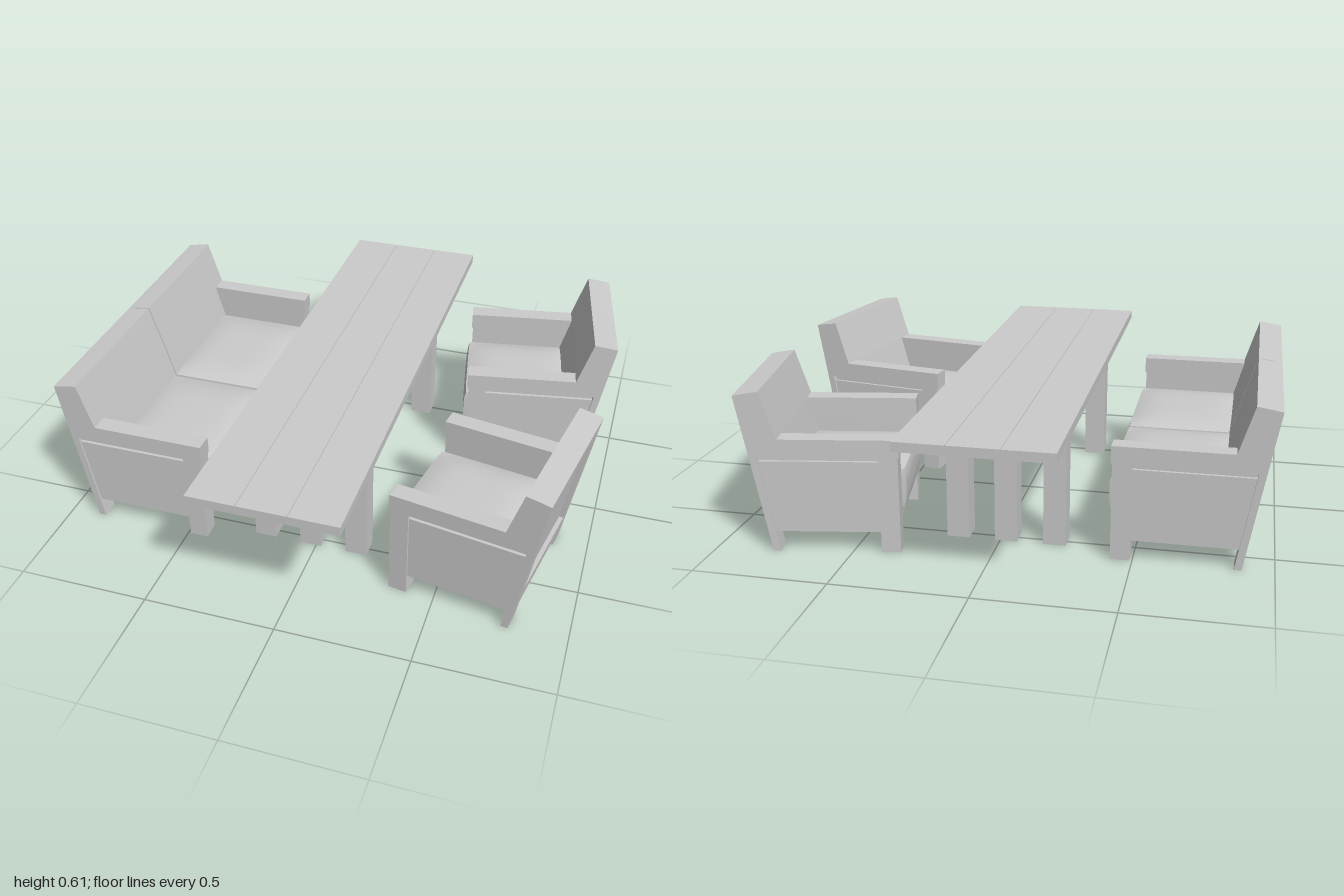
import * as THREE from 'three';
import { mergeVertices, toCreasedNormals } from 'three/addons/utils/BufferGeometryUtils.js';

const material = new THREE.MeshStandardMaterial({ color: 0xcccccc });

function add(group, name, geometry) {
  const mesh = new THREE.Mesh(geometry, material);
  mesh.name = name;
  group.add(mesh);
  return mesh;
}

// Box given by its limits on each axis
function box(group, name, [x0, x1], [y0, y1], [z0, z1]) {
  const mesh = add(group, name, new THREE.BoxGeometry(x1 - x0, y1 - y0, z1 - z0));
  mesh.position.set((x0 + x1) / 2, (y0 + y1) / 2, (z0 + z1) / 2);
}

// Side profile in x and y, extruded from z0 to z1
function prism(group, name, points, z0, z1) {
  const shape = new THREE.Shape(points.map(([x, y]) => new THREE.Vector2(x, y)));
  const geometry = new THREE.ExtrudeGeometry(shape, { depth: z1 - z0, bevelEnabled: false });
  add(group, name, geometry.translate(0, 0, z0));
}

// Rear plane of the leaning back, offset forwards by d
const lean = (y, d = 0) => [-0.185 - 0.178 * y + d, y];
const slat = (y0, y1, d0, d1) => [lean(y0, d0), lean(y0, d1), lean(y1, d1), lean(y1, d0)];

// Soft seat cushion: domed top and bulging sides
function cushionGeometry(w, h, d) {
  let g = new THREE.BoxGeometry(w, h, d, 14, 8, 14);
  g.deleteAttribute('normal');
  g.deleteAttribute('uv');
  g = mergeVertices(g);
  const p = g.attributes.position;
  for (let i = 0; i < p.count; i++) {
    const u = p.getX(i) / w * 2, v = p.getY(i) / h * 2, t = p.getZ(i) / d * 2;
    const dome = v > 0 ? 0.74 + 0.26 * (1 - u ** 4) * (1 - t ** 4) : 1;
    const tuck = 1 - 0.035 * Math.abs(v) ** 3;
    p.setXYZ(i, p.getX(i) * tuck * (1 - 0.015 * t ** 6), p.getY(i) * dome,
      p.getZ(i) * (1 - 0.012 * Math.abs(v) ** 3) * (1 - 0.01 * u ** 6));
  }
  return toCreasedNormals(g, 0.9);
}

// Armchair or sofa facing +x, centred on z = 0
function createSeat(name, width, places) {
  const seat = new THREE.Group();
  seat.name = name;
  const half = width / 2, arm = 0.07, inner = half - arm;

  for (const s of [-1, 1]) {
    // z limits on this side, measured from the outer face inwards
    const span = (a, b) => [s * (half - a), s * (half - b)].sort((m, n) => m - n);
    box(seat, 'frontLeg', [0.21, 0.28], [0, 0.365], span(0, arm));
    prism(seat, 'backLeg', slat(0, 0.555, 0, 0.027), ...span(0, arm));
    prism(seat, 'armrest', [lean(0.365, 0.025), [0.285, 0.365], [0.285, 0.43], lean(0.43, 0.025)], ...span(0, arm));
    prism(seat, 'sidePanel', [lean(0.075, 0.025), [0.215, 0.075], [0.215, 0.345], lean(0.345, 0.025)], ...span(0.008, arm));
    prism(seat, 'armSupport', [lean(0.345, 0.025), [0.215, 0.345], [0.215, 0.365], lean(0.365, 0.025)], ...span(0.02, arm));
  }

  // Base and back frame
  prism(seat, 'seatBase', [lean(0.075, 0.02), [0.265, 0.075], [0.265, 0.15], lean(0.15, 0.02)], -inner, inner);
  prism(seat, 'lowerBackRail', slat(0.078, 0.147, 0, 0.022), -inner, inner);
  prism(seat, 'topBackRail', [lean(0.55), lean(0.555, 0.03), lean(0.595, 0.03), lean(0.59)], -half, half);

  // Cushions, one pair for each place
  const pitch = 2 * inner / places, gap = 0.003;
  for (let i = 0; i < places; i++) {
    const z0 = -inner + i * pitch + gap, z1 = z0 + pitch - 2 * gap;
    const seatCushion = add(seat, 'seatCushion', cushionGeometry(0.44, 0.165, z1 - z0));
    seatCushion.position.set(0.08, 0.2325, (z0 + z1) / 2);
    prism(seat, 'backCushion', [lean(0.15, 0.016), [-0.065, 0.15], [-0.145, 0.43], lean(0.43, 0.016)], z0, z1);
    // The upper part widens over the armrests
    const w0 = i === 0 ? -half : z0, w1 = i === places - 1 ? half : z1;
    prism(seat, 'upperBackCushion',
      [lean(0.43, 0.026), [-0.145, 0.43], [-0.2, 0.605], lean(0.595, 0.026)], w0, w1);
    prism(seat, 'backPanel', slat(0.43, 0.555, 0.016, 0.028), z0, z1);
  }
  return seat;
}

function createTable() {
  const table = new THREE.Group();
  table.name = 'table';
  const plank = 0.183;
  for (let i = 0; i < 3; i++) {
    const x = -0.295 + i * plank;
    box(table, 'tabletopPlank', [x, x + plank - 0.002], [0.5, 0.535], [-1, 1]);
  }
  for (const z of [-0.495, 0.495]) {
    box(table, 'crossBatten', [-0.28, 0.235], [0.48, 0.5], [z - 0.042, z + 0.042]);
    for (const x of [-0.205, -0.022, 0.16]) {
      box(table, 'tableLeg', [x - 0.042, x + 0.042], [0, 0.48], [z - 0.042, z + 0.042]);
    }
  }
  return table;
}

export function createModel() {
  const model = new THREE.Group();
  model.name = 'diningSet';
  model.add(createTable());

  const sofa = createSeat('sofa', 1.226, 2);
  sofa.position.set(-0.7, 0, 0.002);
  model.add(sofa);

  // Two armchairs turned towards the middle of the table
  for (const [z, degrees] of [[-0.483, 190], [0.443, 170]]) {
    const chair = createSeat('armchair', 0.562, 1);
    chair.position.set(0.652, 0, z);
    chair.rotation.y = THREE.MathUtils.degToRad(degrees);
    model.add(chair);
  }
  return model;
}
